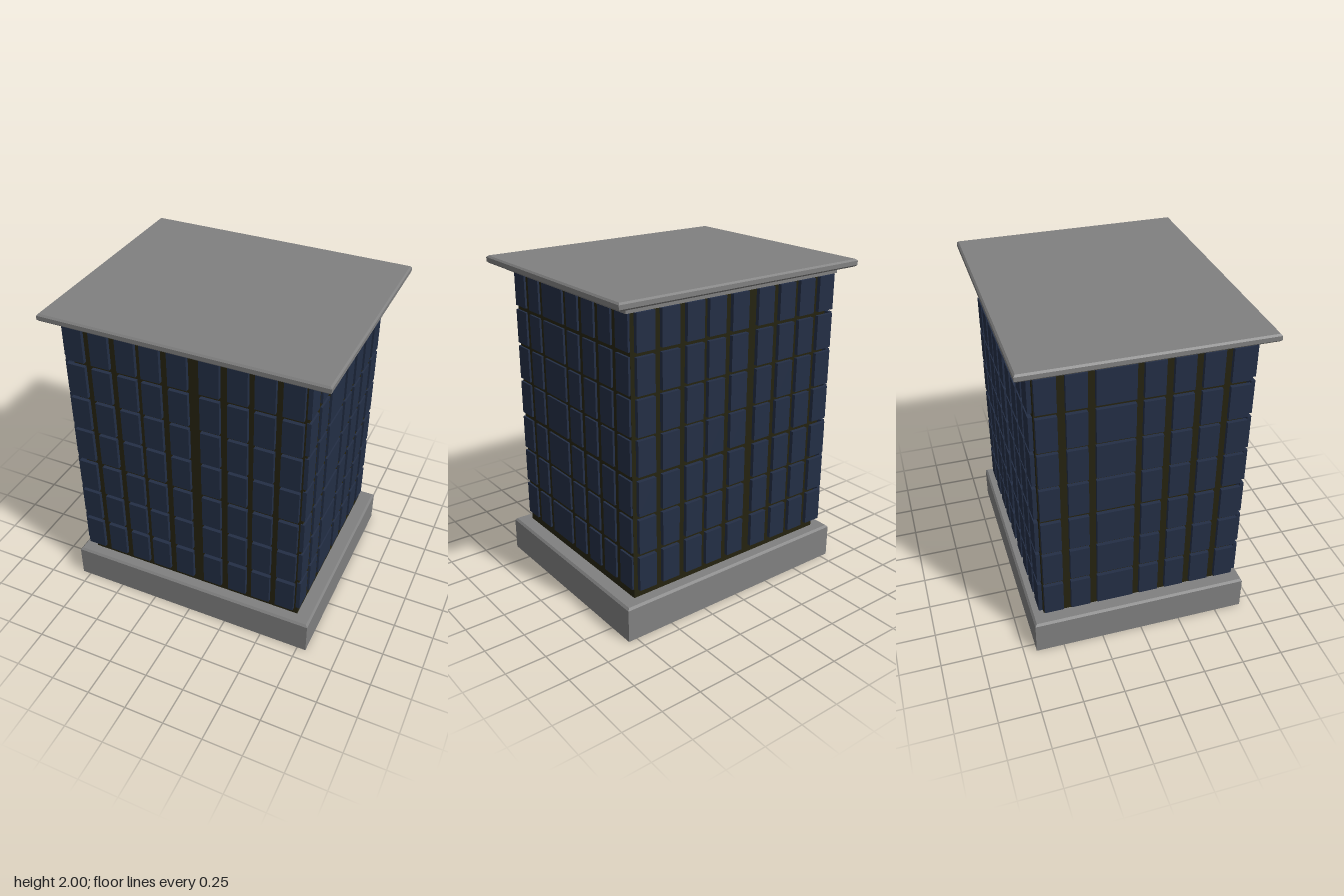
import * as THREE from 'three';
import { mergeGeometries } from 'three/addons/utils/BufferGeometryUtils.js';

const stone = new THREE.MeshStandardMaterial({ color: 0x808080 });
stone.name = 'grey stone';
const wall = new THREE.MeshStandardMaterial({ color: 0x252310 });
wall.name = 'dark olive wall';
const glass = new THREE.MeshStandardMaterial({ color: 0x232e45 });
glass.name = 'navy glass';

// Rectangular block from stacked rings, each given as [y, inset]
function ringBlock(halfX, halfZ, rings) {
  const pos = [];
  const loops = rings.map(([y, d]) => {
    const x = halfX - d, z = halfZ - d;
    return [[-x, y, z], [x, y, z], [x, y, -z], [-x, y, -z]];
  });
  const quad = (a, b, c, d) => pos.push(...a, ...b, ...c, ...a, ...c, ...d);
  for (let i = 0; i < loops.length - 1; i++) {
    const lo = loops[i], hi = loops[i + 1];
    for (let k = 0; k < 4; k++) {
      const n = (k + 1) % 4;
      quad(lo[k], lo[n], hi[n], hi[k]);
    }
  }
  quad(...loops[loops.length - 1]);
  quad(...[...loops[0]].reverse());
  const geo = new THREE.BufferGeometry();
  geo.setAttribute('position', new THREE.Float32BufferAttribute(pos, 3));
  geo.computeVertexNormals();
  return geo;
}

export function createModel() {
  const model = new THREE.Group();
  model.name = 'building';
  const add = (name, geo, mat, parent = model) => {
    const mesh = new THREE.Mesh(geo, mat);
    mesh.name = name;
    parent.add(mesh);
    return mesh;
  };

  // Stone base, wall core, cornice and overhanging roof
  add('base', ringBlock(0.805, 0.672, [[0, 0], [0.205, 0], [0.218, 0.012]]), stone);
  add('wallCore', new THREE.BoxGeometry(1.428, 1.72, 1.197), wall).position.set(-0.002, 1.065, 0.001);
  add('cornice', new THREE.BoxGeometry(1.522, 0.045, 1.27), stone).position.set(-0.002, 1.937, 0.002);
  add('roof', ringBlock(0.85, 0.71, [[1.955, 0.01], [1.965, 0], [1.99, 0], [2, 0.01]]), stone);

  // Window grids: centre positions of rows, and [centre, width] of columns
  const rows = [0.382, 0.621, 0.857, 1.098, 1.331, 1.565, 1.803];
  const w = 0.118, h = 0.212, t = 0.024;
  const longCols = [-0.685, -0.521, -0.355, -0.203, -0.037, 0.153, 0.319, 0.476, 0.635].map(x => [x, w]);
  const shortCols = [[0.547, w], [0.382, w], [0.167, 0.222], [-0.045, w], [-0.21, w], [-0.374, w], [-0.538, w]];

  // One long and one short side; the opposite pair is the same turned half round
  for (const [side, turn] of [['front', 0], ['back', Math.PI]]) {
    const pair = new THREE.Group();
    pair.name = side + 'WindowPair';
    pair.position.set(-0.025, 0, 0.002);
    pair.rotation.y = turn;
    model.add(pair);
    const longPanes = [], shortPanes = [];
    for (const y of rows) {
      for (const [x, width] of longCols)
        longPanes.push(new THREE.BoxGeometry(width, h, t).translate(x + 0.025, y, 0.623));
      for (const [z, width] of shortCols)
        shortPanes.push(new THREE.BoxGeometry(t, h, width).translate(0.738, y, z - 0.002));
    }
    add(side + 'Windows', mergeGeometries(longPanes), glass, pair);
    add(turn ? 'rightSideWindows' : 'leftSideWindows', mergeGeometries(shortPanes), glass, pair);
  }
  return model;
}
